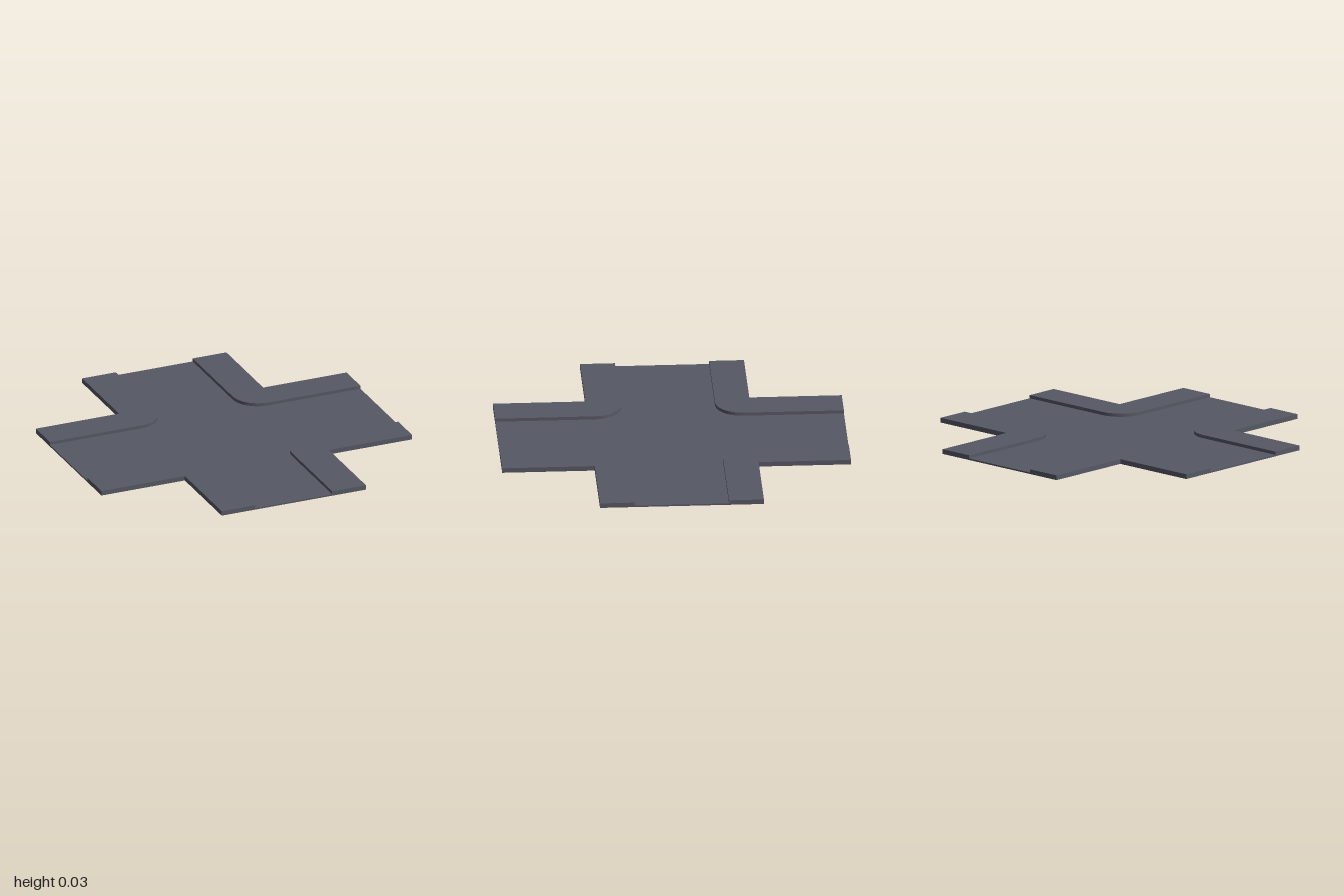
import * as THREE from 'three';

const END_X = 0.97, END_Z = 1;         // ends of the arms
const ROAD_X = 0.24, ROAD_Z = 0.27;    // half widths of the roadways
const OUT_X = 0.45, OUT_Z = 0.47;      // outer edges of the pavements
const RADIUS = 0.155;                  // kerb corner radius
const ROAD_TOP = 0.009, PAVEMENT_TOP = 0.028;

// Kerb line of one quadrant, from the end of the x arm to the end of the z arm
function kerbLine(sx, sz) {
  const points = [[END_X, ROAD_Z]];
  for (let i = 0; i <= 10; i++) {
    const a = (i / 10) * Math.PI / 2;
    points.push([
      ROAD_X + RADIUS * (1 - Math.sin(a)),
      ROAD_Z + RADIUS * (1 - Math.cos(a)),
    ]);
  }
  points.push([ROAD_X, END_Z]);
  return points.map(([x, z]) => new THREE.Vector2(sx * x, sz * z));
}

// Flat slab standing on y = 0
function slab(name, points, height, material) {
  const geometry = new THREE.ExtrudeGeometry(new THREE.Shape(points), {
    depth: height, bevelEnabled: false,
  });
  geometry.rotateX(-Math.PI / 2);
  const mesh = new THREE.Mesh(geometry, material);
  mesh.name = name;
  return mesh;
}

export function createModel() {
  const group = new THREE.Group();
  group.name = 'crossroads';
  const asphalt = new THREE.MeshStandardMaterial({ color: 0x565864 });
  asphalt.name = 'slate grey asphalt';

  // Crossing roadway with rounded inner corners
  const outline = [
    ...kerbLine(1, 1), ...kerbLine(-1, 1).reverse(),
    ...kerbLine(-1, -1), ...kerbLine(1, -1).reverse(),
  ];
  group.add(slab('roadway', outline, ROAD_TOP, asphalt));

  // Raised L-shaped pavement in each corner
  for (const [name, sx, sz] of [
    ['backLeftPavement', 1, 1], ['backRightPavement', -1, 1],
    ['frontRightPavement', -1, -1], ['frontLeftPavement', 1, -1],
  ]) {
    const outer = [[OUT_X, END_Z], [OUT_X, OUT_Z], [END_X, OUT_Z]]
      .map(([x, z]) => new THREE.Vector2(sx * x, sz * z));
    group.add(slab(name, [...kerbLine(sx, sz), ...outer], PAVEMENT_TOP, asphalt));
  }
  return group;
}
